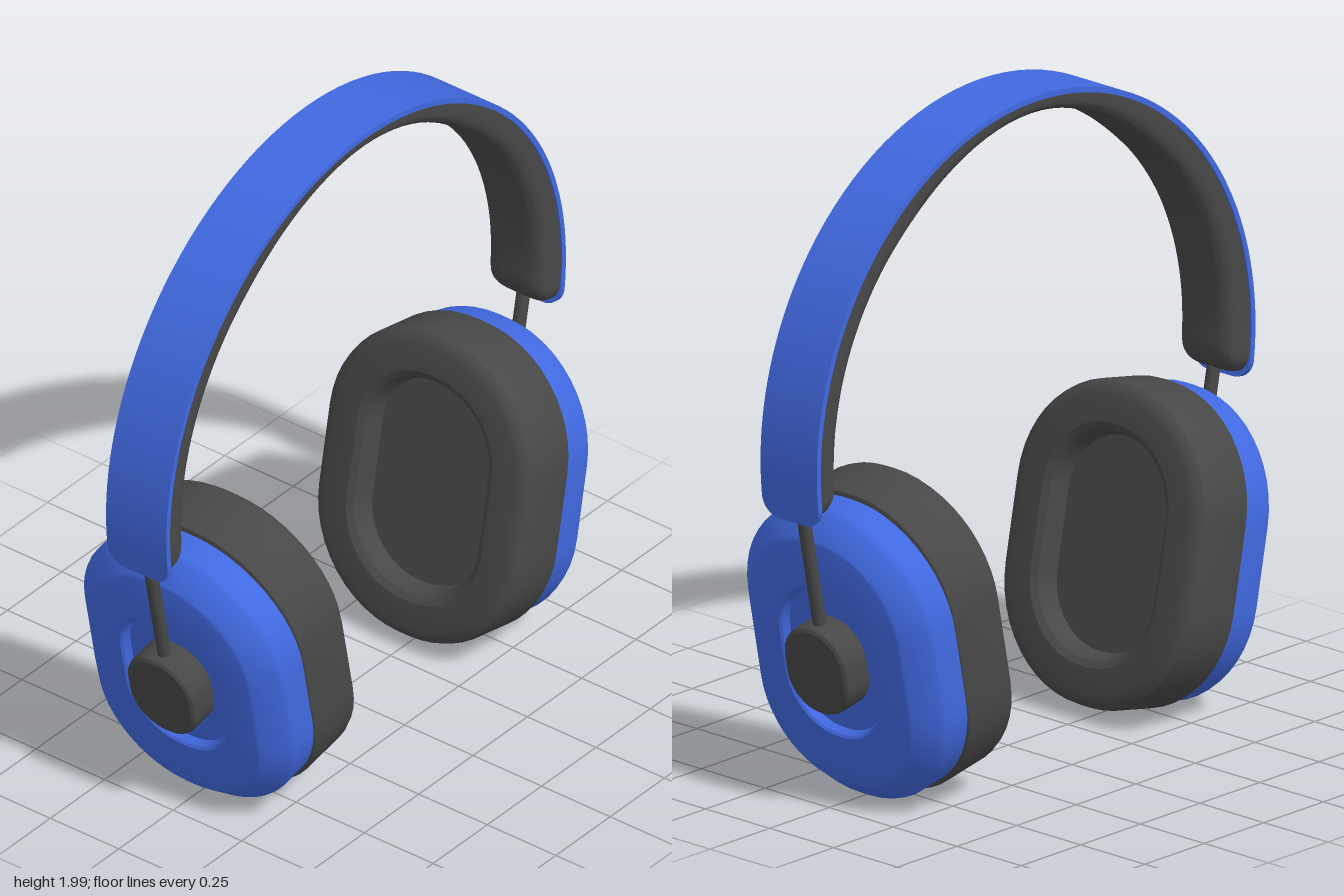
import * as THREE from 'three';
import { toCreasedNormals } from 'three/addons/utils/BufferGeometryUtils.js';

// Skin a list of equal-length closed rings and cap both ends
function loft(rings, crease = 0.5) {
  const n = rings[0].length, pos = [], idx = [];
  rings.forEach(ring => ring.forEach(p => pos.push(p.x, p.y, p.z)));
  for (let i = 0; i < rings.length - 1; i++) {
    for (let j = 0; j < n; j++) {
      const a = i * n + j, b = i * n + (j + 1) % n;
      idx.push(a, b, b + n, a, b + n, a + n);
    }
  }
  [0, rings.length - 1].forEach((i, end) => {
    const c = new THREE.Vector3();
    rings[i].forEach(p => c.addScaledVector(p, 1 / n));
    const ci = pos.length / 3;
    pos.push(c.x, c.y, c.z);
    for (let j = 0; j < n; j++) {
      const a = i * n + j, b = i * n + (j + 1) % n;
      if (end) idx.push(ci, a, b); else idx.push(ci, b, a);
    }
  });
  const geo = new THREE.BufferGeometry();
  geo.setAttribute('position', new THREE.Float32BufferAttribute(pos, 3));
  geo.setIndex(idx);
  return toCreasedNormals(geo, crease);
}

// Rounded outline of half width hw and half height hh at depth z
function outline([hw, hh, z]) {
  const r = hw * 0.95, seg = 12, pts = [];
  for (let q = 0; q < 4; q++) {
    const sx = q === 0 || q === 3 ? 1 : -1, sy = q < 2 ? 1 : -1;
    for (let k = 0; k <= seg; k++) {
      const a = (q + k / seg) * Math.PI / 2;
      pts.push(new THREE.Vector3(sx * (hw - r) + r * Math.cos(a), sy * (hh - r) + r * Math.sin(a), z));
    }
  }
  return pts;
}

const R = 0.92, CENTRE_Y = 1.08, A0 = -0.183, A1 = Math.PI + 0.183;

// Sweep a section(s, a) of [x, radius] points over the head, denser near the ends
function arch(section, a0, a1) {
  const rings = [], n = 96;
  for (let i = 0; i <= n; i++) {
    const t = (1 - Math.cos(Math.PI * i / n)) / 2;
    const a = a0 + (a1 - a0) * t;
    const s = R * (a1 - a0) * Math.min(t, 1 - t);
    rings.push(section(s, a).map(([x, r]) =>
      new THREE.Vector3(x, CENTRE_Y + r * Math.sin(a), r * Math.cos(a))));
  }
  return loft(rings, 0.6);
}

// 0 to 1 along a quarter circle, for rounded ends
const roundEnd = (s, len) => s >= len ? 1 : Math.sqrt(Math.max(0, 1 - (1 - s / len) ** 2));

export function createModel() {
  const blue = new THREE.MeshStandardMaterial({ color: 0x4169e1 });
  blue.name = 'blueShell';
  const grey = new THREE.MeshStandardMaterial({ color: 0x484848 });
  grey.name = 'darkGrey';

  const model = new THREE.Group();
  model.name = 'headphones';
  const add = (parent, name, geo, mat) => {
    const mesh = new THREE.Mesh(geo, mat);
    mesh.name = name;
    parent.add(mesh);
    return mesh;
  };

  // Thin outer strip of the headband
  add(model, 'headbandStrip', arch(s => {
    const w = 0.05 + 0.06 * roundEnd(s, 0.06);
    return [[w, R], [w, R - 0.017], [-w, R - 0.017], [-w, R]];
  }, A0, A1), blue);

  // Soft inner cushion, thinner at the crown
  add(model, 'headbandCushion', arch((s, a) => {
    const e = roundEnd(s, 0.1);
    const w = 0.055 + 0.05 * roundEnd(s, 0.06);
    const crown = THREE.MathUtils.smoothstep(Math.abs(a - Math.PI / 2), 0, 0.75);
    const d = (0.05 + 0.043 * crown) * (0.25 + 0.75 * e);
    const pts = [];
    for (let k = 0; k <= 20; k++) {
      const f = Math.PI * k / 20, c = k === 10 ? 0 : Math.cos(f), v = k % 20 ? Math.sin(f) : 0;
      pts.push([w * Math.sign(c) * Math.abs(c) ** 0.5, R - 0.016 - d * v ** 0.5]);
    }
    return pts;
  }, A0 + 0.02, A1 - 0.02), grey);

  // Ear cups, each built with z pointing away from the head
  const cupParts = {
    // hole floor, hole wall, rounded rim, outer side
    earCushion: [[
      [0.205, 0.315, 0.07], [0.21, 0.32, 0.06], [0.215, 0.325, 0.03], [0.225, 0.335, 0.012], [0.245, 0.355, 0],
      [0.325, 0.435, 0], [0.345, 0.455, 0.006], [0.36, 0.47, 0.02], [0.366, 0.476, 0.04],
      [0.366, 0.476, 0.195], [0.362, 0.472, 0.205], [0.352, 0.462, 0.21]], grey],
    // side, bevel, face and shallow recess
    earShell: [[
      [0.35, 0.45, 0.19], [0.36, 0.46, 0.2], [0.36, 0.46, 0.295], [0.355, 0.455, 0.308],
      [0.293, 0.393, 0.368], [0.285, 0.385, 0.372],
      [0.185, 0.24, 0.372], [0.178, 0.233, 0.366], [0.17, 0.225, 0.342]], blue],
    knob: [[
      [0.12, 0.138, 0.335], [0.12, 0.138, 0.42], [0.117, 0.135, 0.43], [0.108, 0.126, 0.436]], grey],
  };
  for (const side of ['front', 'back']) {
    const half = new THREE.Group();
    half.name = side + 'Earpiece';
    half.rotation.y = side === 'front' ? 0 : Math.PI;
    const cup = new THREE.Group();
    cup.name = side + 'Cup';
    cup.position.set(0, 0.52, 0.3825);
    cup.rotation.x = 0.196;
    for (const [name, [profile, mat]] of Object.entries(cupParts)) {
      add(cup, name, loft(profile.map(outline)), mat);
    }
    // Slider rod from the knob up into the headband
    const rod = add(cup, 'sliderRod', new THREE.CylinderGeometry(0.02, 0.02, 0.47, 20), grey);
    rod.position.set(0, 0.305, 0.389);
    half.add(cup);
    model.add(half);
  }
  return model;
}
